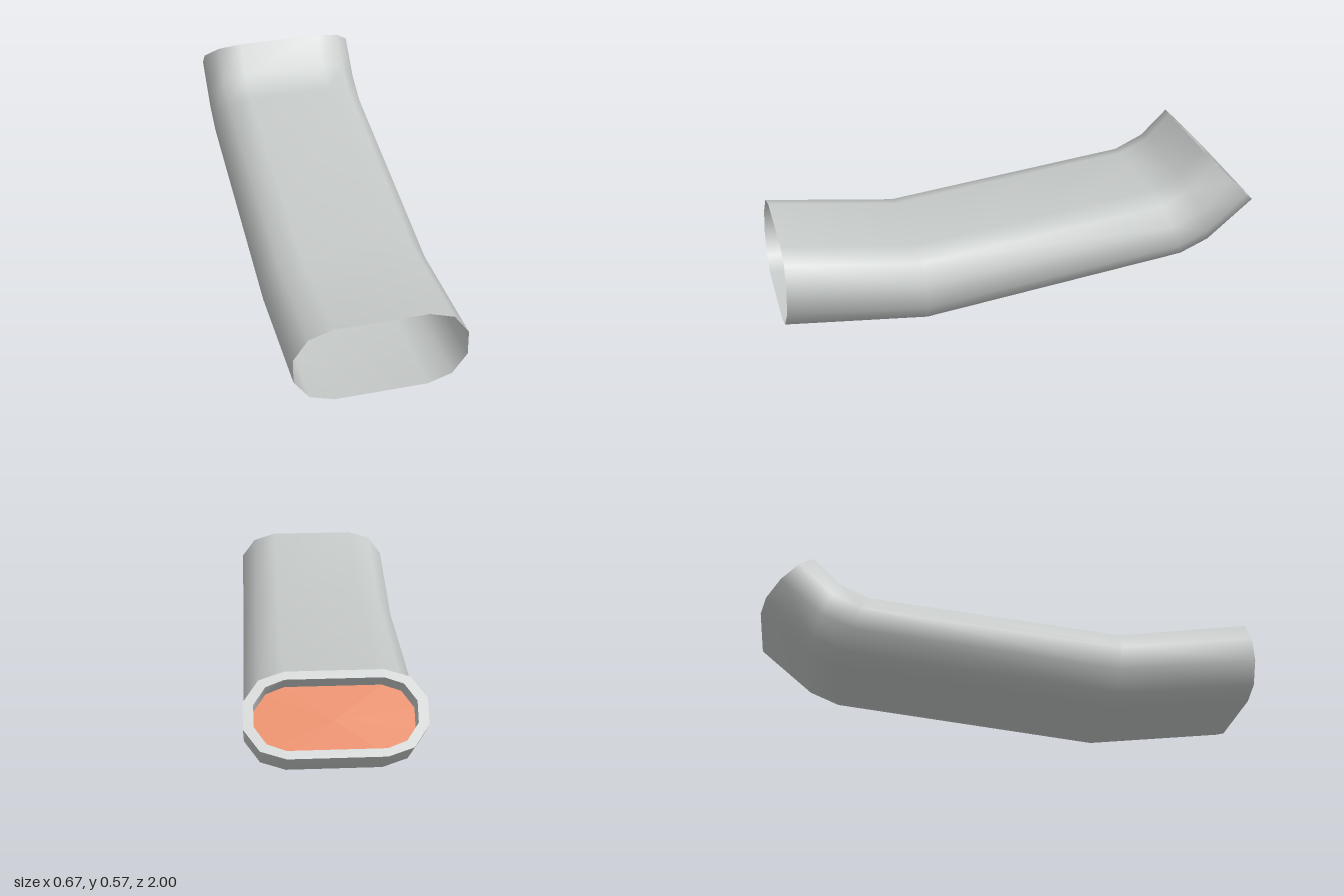
import * as THREE from 'three';

// Half-widths and relative heights of one quadrant of the flattened tube section
const OUTER = [[0.333, 0.31], [0.275, 0.81], [0.18, 1]];
const INNER = [[0.295, 0.25], [0.25, 0.65], [0.18, 0.81]];
const POINT = [[0, 0], [0, 0], [0, 0]];

// A closed 12-sided ring; top and bottom are [z, y]
function ring(top, bottom, quadrant) {
  const back = [...quadrant].reverse();
  const loop = [
    ...quadrant,
    ...back.map(([x, v]) => [-x, v]),
    ...quadrant.map(([x, v]) => [-x, -v]),
    ...back.map(([x, v]) => [x, -v]),
  ];
  return loop.map(([x, v]) => {
    const t = (v + 1) / 2;
    return [x, THREE.MathUtils.lerp(bottom[1], top[1], t), THREE.MathUtils.lerp(bottom[0], top[0], t)];
  });
}

// Smooth skin across consecutive rings
function loft(name, rings, material) {
  const n = rings[0].length;
  const index = [];
  for (let i = 0; i < rings.length - 1; i++) {
    for (let j = 0; j < n; j++) {
      const a = i * n + j, b = i * n + (j + 1) % n;
      index.push(a, a + n, b, b, a + n, b + n);
    }
  }
  const geometry = new THREE.BufferGeometry();
  geometry.setAttribute('position', new THREE.Float32BufferAttribute(rings.flat(2), 3));
  geometry.setIndex(index);
  geometry.computeVertexNormals();
  const mesh = new THREE.Mesh(geometry, material);
  mesh.name = name;
  return mesh;
}

export function createModel() {
  const grey = new THREE.MeshStandardMaterial({ name: 'light grey', color: 0xc6cac9, side: THREE.DoubleSide });
  const orange = new THREE.MeshStandardMaterial({ name: 'orange', color: 0xdc7030, side: THREE.DoubleSide });
  const group = new THREE.Group();
  group.name = 'bentDuct';

  // Bent tube, open at the front and turned up at the back
  const endTop = [-0.78, 0.572], endBottom = [-1, 0.337];
  const stations = [
    [[0.98, 0.397], [1, 0.068]],
    [[0.45, 0.318], [0.425, 0]],
    [[-0.56, 0.415], [-0.68, 0.12]],
    [[-0.68, 0.47], [-0.8, 0.17]],
    [endTop, endBottom],
  ];
  group.add(loft('tube', stations.map(([t, b]) => ring(t, b, OUTER)), grey));

  // Rear rim, recessed wall and the panel closing it
  const sink = ([z, y]) => [z + 0.08, y - 0.073];
  const deepTop = sink(endTop), deepBottom = sink(endBottom);
  const mouth = ring(endTop, endBottom, INNER);
  const floor = ring(deepTop, deepBottom, INNER);
  group.add(loft('rearRim', [ring(endTop, endBottom, OUTER), mouth], grey));
  group.add(loft('recessWall', [mouth, floor], grey));
  group.add(loft('recessPanel', [floor, ring(deepTop, deepBottom, POINT)], orange));
  return group;
}
